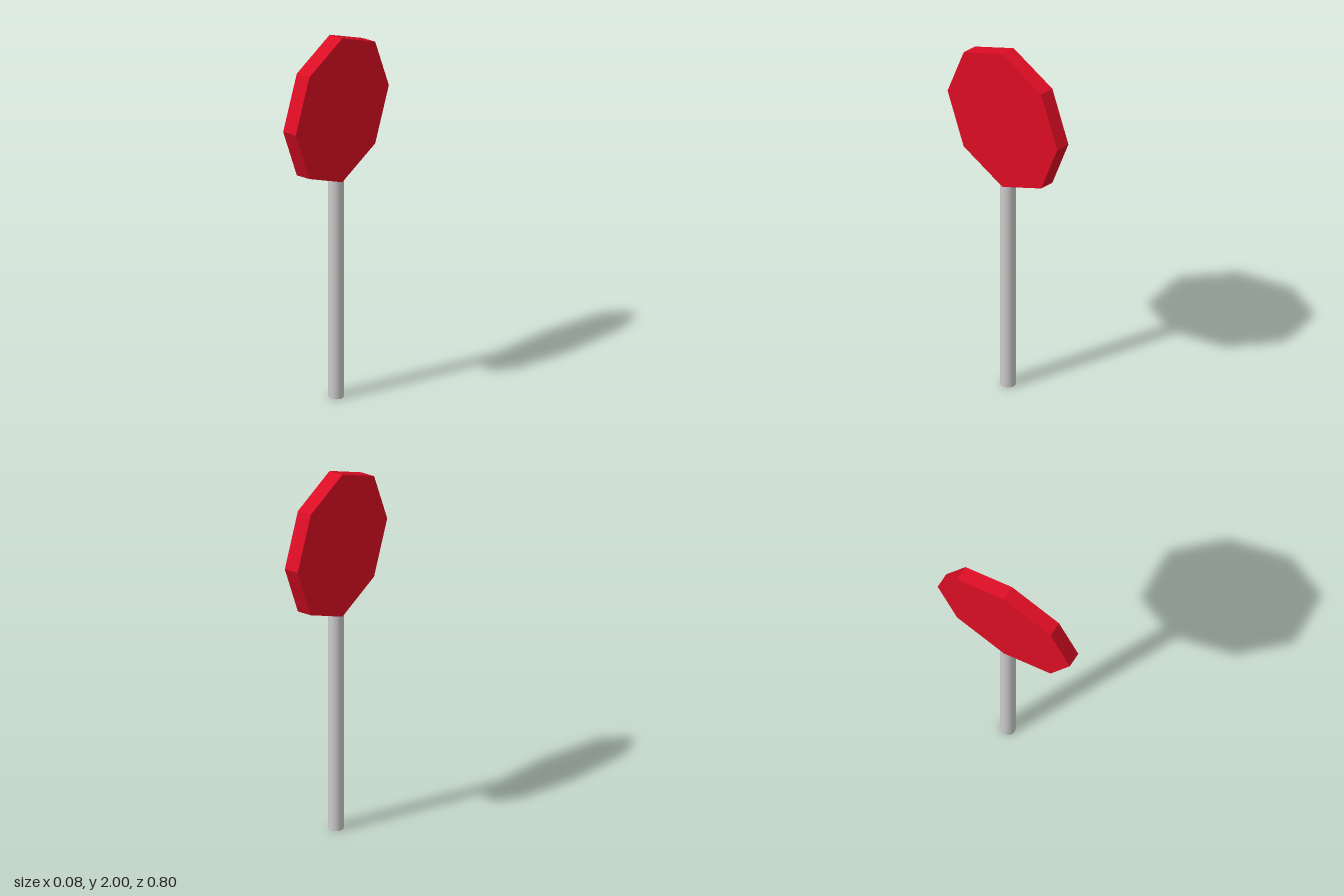
import * as THREE from 'three';

const POLE_RADIUS = 0.04;
const SIGN_RADIUS = 0.4;
const SIGN_CENTRE = 1.6;

export function createModel() {
  const model = new THREE.Group();
  model.name = 'roadSign';

  // Round pole, its top sunk into the plate
  const poleHeight = 1.3;
  const pole = new THREE.Mesh(
    new THREE.CylinderGeometry(POLE_RADIUS, POLE_RADIUS, poleHeight, 32),
    new THREE.MeshStandardMaterial({ color: 0xcccccc })
  );
  pole.name = 'pole';
  pole.position.y = poleHeight / 2;

  // Octagonal plate standing on one corner, facing sideways along x
  const plate = new THREE.Mesh(
    new THREE.CylinderGeometry(SIGN_RADIUS, SIGN_RADIUS, POLE_RADIUS * 2, 8).rotateZ(Math.PI / 2),
    new THREE.MeshStandardMaterial({ color: 0xdc0d24, flatShading: true })
  );
  plate.name = 'signPlate';
  plate.position.y = SIGN_CENTRE;

  model.add(pole, plate);
  return model;
}
